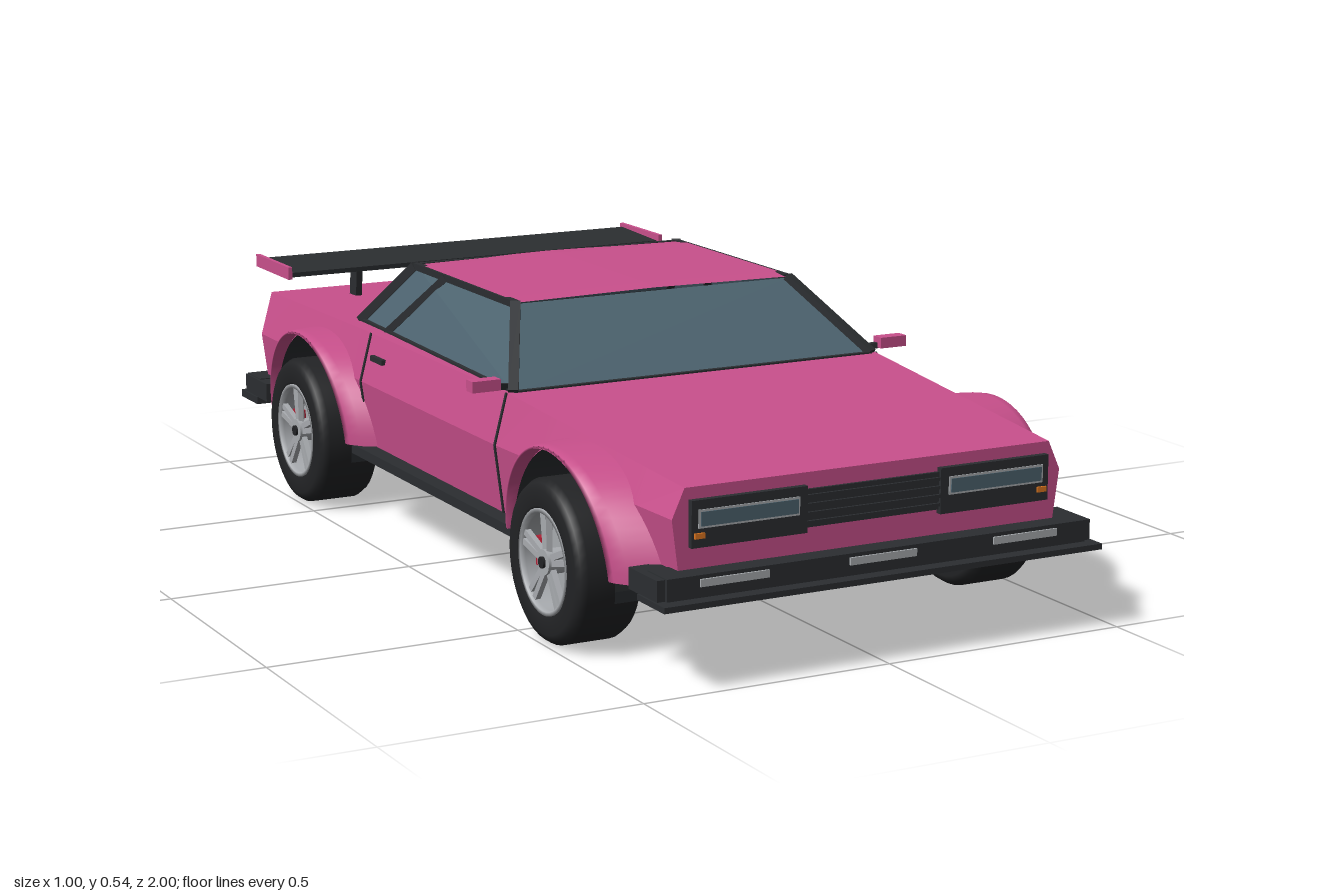
import * as THREE from 'three';

const mat = (color, side = THREE.FrontSide) => new THREE.MeshStandardMaterial({ color, side });
const pink = mat(0xc9508c, THREE.DoubleSide);
const black = mat(0x2b2e31, THREE.DoubleSide);
const rubber = mat(0x222325);
const glass = mat(0x4d6470, THREE.DoubleSide);
const grey = mat(0xcccccc);
const silver = mat(0xa9acb0);
const red = mat(0xb02035);
const orange = mat(0xe07820);

const AXLE_Y = 0.155, AXLES = [0.6, -0.6], WELL_R = 0.212;
const lerp = THREE.MathUtils.lerp, rad = THREE.MathUtils.degToRad;

function add(parent, name, geometry, material) {
  const mesh = new THREE.Mesh(geometry, material);
  mesh.name = name;
  parent.add(mesh);
  return mesh;
}

// Box given by its limits on each axis
function box(parent, name, material, x0, x1, y0, y1, z0, z1) {
  const mesh = add(parent, name, new THREE.BoxGeometry(Math.abs(x1 - x0), y1 - y0, Math.abs(z1 - z0)), material);
  mesh.position.set((x0 + x1) / 2, (y0 + y1) / 2, (z0 + z1) / 2);
  return mesh;
}

// Square bar between two points
function bar(parent, name, material, a, b, w, h = w) {
  const p = new THREE.Vector3(...a), q = new THREE.Vector3(...b);
  const mesh = add(parent, name, new THREE.BoxGeometry(w, h, p.distanceTo(q)), material);
  mesh.position.copy(p).lerp(q, 0.5);
  mesh.lookAt(q);
  return mesh;
}

// Skin over rows of points; smooth rows share normals
function skin(rows, smooth = false) {
  const n = rows[0].length, index = [];
  for (let i = 0; i < rows.length - 1; i++)
    for (let j = 0; j < n - 1; j++) {
      const a = i * n + j, b = a + n;
      index.push(a, b, b + 1, a, b + 1, a + 1);
    }
  let g = new THREE.BufferGeometry();
  g.setAttribute('position', new THREE.Float32BufferAttribute(rows.flat(2), 3));
  g.setIndex(index);
  if (!smooth) g = g.toNonIndexed();
  g.computeVertexNormals();
  return g;
}

// Half section of the body, from sill to shoulder
function section(z, bottom) {
  const nose = THREE.MathUtils.clamp((z - 0.28) / 0.65, 0, 1);
  const top = z > 0.28 ? lerp(0.4, 0.355, nose) : lerp(0.4, 0.393, Math.max(0, (-0.4 - z) / 0.54));
  const mid = lerp(0.438, 0.408, nose), shoulder = lerp(0.412, 0.383, nose), sill = mid - 0.018;
  const yMid = Math.max(0.3, bottom);
  const xMid = lerp(mid, shoulder, (yMid - 0.3) / (top - 0.3));
  const xLow = bottom < 0.3 ? lerp(sill, mid, (bottom - 0.165) / 0.135) : xMid;
  return [[xLow, bottom, z], [xMid, yMid, z], [shoulder, top, z]];
}

function buildBody(car) {
  // Stations run nose to tail, following the round wheel cutouts
  const stations = [[0.93, 0.17]];
  AXLES.forEach((axle, i) => {
    stations.push([axle + WELL_R, 0.165]);
    for (let k = 0; k <= 20; k++) {
      const t = Math.PI * k / 20;
      stations.push([axle + WELL_R * Math.cos(t), AXLE_Y + 0.01 + (WELL_R - 0.01) * Math.sin(t)]);
    }
    stations.push([axle - WELL_R, 0.165]);
    if (i === 0) stations.push([0.28, 0.165], [-0.38, 0.165]);
  });
  stations.push([-0.94, 0.18]);
  const flip = ([x, y, z]) => [-x, y, z];
  const halves = stations.map(([z, b]) => section(z, b));
  add(car, 'bodyShell', skin(halves.map(h => [...h, ...h.map(flip).reverse()])), pink);
  add(car, 'nosePanel', skin([halves[0].map(flip), halves[0]]), pink);
  const tail = halves[halves.length - 1];
  add(car, 'tailPanel', skin([tail, tail.map(flip)]), pink);
  box(car, 'floorPan', black, -0.42, 0.42, 0.15, 0.165, -0.39, 0.38);

  for (const s of [1, -1]) {
    for (const axle of AXLES) {
      const flare = [], well = [];
      for (let k = 0; k <= 32; k++) {
        const t = rad(lerp(3, 177, k / 32)), c = Math.cos(t), q = Math.sin(t);
        const lip = 0.468 + 0.02 * q;
        flare.push([[lip - 0.03, WELL_R - 0.004, WELL_R - 0.004], [lip, WELL_R - 0.004, WELL_R - 0.004],
          [lip - 0.004, 0.222, 0.212], [lip - 0.022, 0.246, 0.214], [0.392, 0.285, 0.216]]
          .map(([x, rz, ry]) => [s * x, AXLE_Y + ry * q, axle + rz * c]));
        const u = rad(lerp(-9, 189, k / 32));
        const y = AXLE_Y + 0.207 * Math.sin(u), z = axle + 0.207 * Math.cos(u);
        well.push([[s * 0.455, y, z], [s * 0.27, y, z], [s * 0.27, AXLE_Y - 0.03, axle]]);
      }
      add(car, 'wheelArchFlare', skin(flare, true), pink);
      add(car, 'wheelWell', skin(well), black);
    }
    // Sills, door seams and handles
    box(car, 'sideSkirt', black, s * 0.40, s * 0.455, 0.145, 0.165, -0.39, 0.38);
    for (const z of [0.277, -0.375]) {
      const [a, b, c] = section(z, 0.165);
      bar(car, 'doorSeam', black, [s * a[0], a[1], z], [s * b[0], b[1], z], 0.006);
      bar(car, 'doorSeam', black, [s * b[0], b[1], z], [s * c[0], c[1], z], 0.006);
    }
    box(car, 'doorHandle', black, s * 0.415, s * 0.432, 0.35, 0.361, -0.34, -0.28);
    // Door mirror
    bar(car, 'mirrorStem', black, [s * 0.39, 0.405, 0.25], [s * 0.44, 0.412, 0.262], 0.012);
    box(car, 'mirrorHousing', pink, s * 0.425, s * 0.485, 0.406, 0.428, 0.25, 0.278);
    box(car, 'mirrorGlass', silver, s * 0.431, s * 0.479, 0.409, 0.425, 0.246, 0.25);
  }
}

function buildCabin(car) {
  const base = s => [[s * 0.4, 0.398, 0.28], [s * 0.372, 0.398, -0.52]];
  const roof = s => [[s * 0.308, 0.533, 0.1], [s * 0.308, 0.533, -0.375]];
  const [L, R, l, r] = [base(1), base(-1), roof(1), roof(-1)];
  add(car, 'windscreen', skin([[R[0], r[0]], [L[0], l[0]]]), glass);
  add(car, 'rearWindow', skin([[L[1], l[1]], [R[1], r[1]]]), glass);
  for (const [b, t, s] of [[L, l, 1], [R, r, -1]]) {
    add(car, 'sideGlass', skin([[b[0], t[0]], [b[1], t[1]]]), glass);
    bar(car, 'frontPillar', black, b[0], t[0], 0.02);
    bar(car, 'rearPillar', black, b[1], t[1], 0.02);
    bar(car, 'quarterPillar', black, [s * 0.378, 0.398, -0.37], [s * 0.309, 0.533, -0.22], 0.016);
    bar(car, 'windowSill', black, b[0], b[1], 0.012);
    bar(car, 'roofRail', black, t[0], t[1], 0.014);
  }
  bar(car, 'windscreenSill', black, L[0], R[0], 0.01);
  bar(car, 'rearWindowSill', black, L[1], R[1], 0.012);
  bar(car, 'rearRoofRail', black, l[1], r[1], 0.012);
  // Slightly crowned roof
  const rows = [0.104, 0.06, -0.33, -0.38].map((z, i) =>
    [0.31, 0.2, 0, -0.2, -0.31].map(x => [x, 0.536 + (i % 3 ? 0.004 : 0) + 0.004 * (1 - Math.abs(x) / 0.31), z]));
  add(car, 'roof', skin(rows), pink);
}

function buildEnds(car) {
  // Front: grille, lamps, bumper and splitter
  box(car, 'grille', black, -0.145, 0.145, 0.255, 0.325, 0.92, 0.936);
  for (let i = 0; i < 4; i++) box(car, 'grilleSlat', black, -0.14, 0.14, 0.262 + i * 0.016, 0.268 + i * 0.016, 0.93, 0.941);
  box(car, 'frontBumper', black, -0.44, 0.44, 0.165, 0.207, 0.90, 0.972);
  box(car, 'frontSplitter', black, -0.46, 0.46, 0.155, 0.166, 0.90, 1.0);
  box(car, 'centreStrip', silver, -0.07, 0.07, 0.186, 0.2, 0.965, 0.976);
  // Rear: bumper, diffuser lip and exhaust
  box(car, 'rearBumper', black, -0.46, 0.46, 0.165, 0.207, -0.975, -0.9);
  box(car, 'rearLip', black, -0.468, 0.468, 0.15, 0.166, -0.995, -0.9);
  const pipe = new THREE.CylinderGeometry(0.02, 0.02, 0.26, 20).rotateX(Math.PI / 2);
  add(car, 'exhaustPipe', pipe, silver).position.set(-0.29, 0.145, -0.87);
  const bore = new THREE.CircleGeometry(0.015, 20).rotateY(Math.PI);
  add(car, 'exhaustBore', bore, black).position.set(-0.29, 0.145, -1.0005);

  for (const s of [1, -1]) {
    box(car, 'headlampHousing', black, s * 0.14, s * 0.375, 0.247, 0.333, 0.91, 0.942);
    box(car, 'headlampFrame', silver, s * 0.157, s * 0.362, 0.282, 0.316, 0.94, 0.944);
    box(car, 'headlampLens', glass, s * 0.161, s * 0.358, 0.286, 0.312, 0.94, 0.946);
    box(car, 'indicator', orange, s * 0.35, s * 0.37, 0.264, 0.274, 0.94, 0.946);
    box(car, 'bumperStrip', silver, s * 0.236, s * 0.375, 0.186, 0.2, 0.965, 0.976);
    box(car, 'frontBumperEnd', black, s * 0.39, s * 0.456, 0.165, 0.205, 0.86, 0.965);
    box(car, 'rearBumperEnd', black, s * 0.41, s * 0.465, 0.165, 0.205, -0.975, -0.85);
    box(car, 'tailLampHousing', black, s * 0.15, s * 0.375, 0.255, 0.335, -0.952, -0.93);
    box(car, 'tailLamp', red, s * 0.17, s * 0.355, 0.291, 0.299, -0.956, -0.95);
    // Wing supports and end plates
    bar(car, 'wingSupport', black, [s * 0.26, 0.39, -0.82], [s * 0.26, 0.468, -0.81], 0.014, 0.035);
    box(car, 'wingEndPlate', pink, s * 0.449, s * 0.458, 0.46, 0.487, -0.91, -0.72);
  }
  const wing = box(car, 'wingBlade', black, -0.45, 0.45, 0.466, 0.476, -0.9, -0.73);
  wing.rotation.x = 0.04;
}

function buildUnderside(car) {
  box(car, 'engineSump', grey, -0.115, 0.115, 0.13, 0.22, -0.72, -0.5);
  box(car, 'rearSubframe', black, -0.3, 0.3, 0.165, 0.185, -0.8, -0.76);
  box(car, 'frontSubframe', black, -0.3, 0.3, 0.15, 0.175, 0.72, 0.76);
  for (const s of [1, -1]) {
    box(car, 'chassisRail', black, s * 0.21, s * 0.24, 0.15, 0.18, 0.36, 0.9);
    box(car, 'chassisRail', black, s * 0.21, s * 0.24, 0.155, 0.185, -0.9, -0.38);
    for (const z of AXLES) {
      for (const d of [-0.07, 0.07])
        bar(car, 'controlArm', black, [s * 0.22, 0.128, z + d], [s * 0.38, 0.1, z], 0.016);
      bar(car, 'driveShaft', black, [s * 0.1, 0.16, z], [s * 0.4, 0.155, z], 0.022);
    }
  }
}

// Wheel with its axle on x and the outer face on +x
function buildWheel() {
  const wheel = new THREE.Group();
  wheel.name = 'wheel';
  const profile = [[0.098, -0.066], [0.135, -0.0675], [0.147, -0.062], [0.155, -0.048], [0.155, 0.048],
    [0.147, 0.06], [0.135, 0.066], [0.104, 0.0665], [0.098, 0.06], [0.098, -0.066]];
  const lathe = pts => new THREE.LatheGeometry(pts.map(p => new THREE.Vector2(...p)), 40).rotateZ(-Math.PI / 2);
  add(wheel, 'tyre', lathe(profile), rubber);
  add(wheel, 'rim', lathe([[0.09, -0.06], [0.099, -0.06], [0.1, 0.065], [0.092, 0.065], [0.09, 0.055], [0.09, -0.06]]), silver);
  const disc = (name, r, x, w, m) =>
    add(wheel, name, new THREE.CylinderGeometry(r, r, w, 32).rotateZ(Math.PI / 2), m).position.set(x, 0, 0);
  disc('wheelBack', 0.092, -0.02, 0.01, black);
  disc('brakeDisc', 0.075, 0.012, 0.01, silver);
  disc('hub', 0.024, 0.045, 0.036, silver);
  disc('hubCap', 0.011, 0.062, 0.012, rubber);
  for (let i = 0; i < 5; i++) {
    const a = i * Math.PI * 0.4;
    for (const d of [-0.11, 0.11]) {
      const dir = t => [Math.cos(t), Math.sin(t)];
      const [c0, s0] = dir(a + d * 2.5), [c1, s1] = dir(a + d);
      bar(wheel, 'spoke', silver, [0.052, 0.018 * c0, 0.018 * s0], [0.055, 0.094 * c1, 0.094 * s1], 0.011, 0.012);
    }
  }
  box(wheel, 'brakeCaliper', red, 0.01, 0.036, -0.028, 0.028, -0.084, -0.058);
  return wheel;
}

export function createModel() {
  const car = new THREE.Group();
  car.name = 'sportsCar';
  buildBody(car);
  buildCabin(car);
  buildEnds(car);
  buildUnderside(car);
  for (const z of AXLES)
    for (const s of [1, -1]) {
      const wheel = buildWheel();
      wheel.position.set(s * 0.433, AXLE_Y, z);
      // Turn the right-hand wheels round, keeping the caliper behind the axle
      if (s < 0) {
        wheel.rotation.y = Math.PI;
        wheel.getObjectByName('brakeCaliper').position.z *= -1;
      }
      car.add(wheel);
    }
  return car;
}
